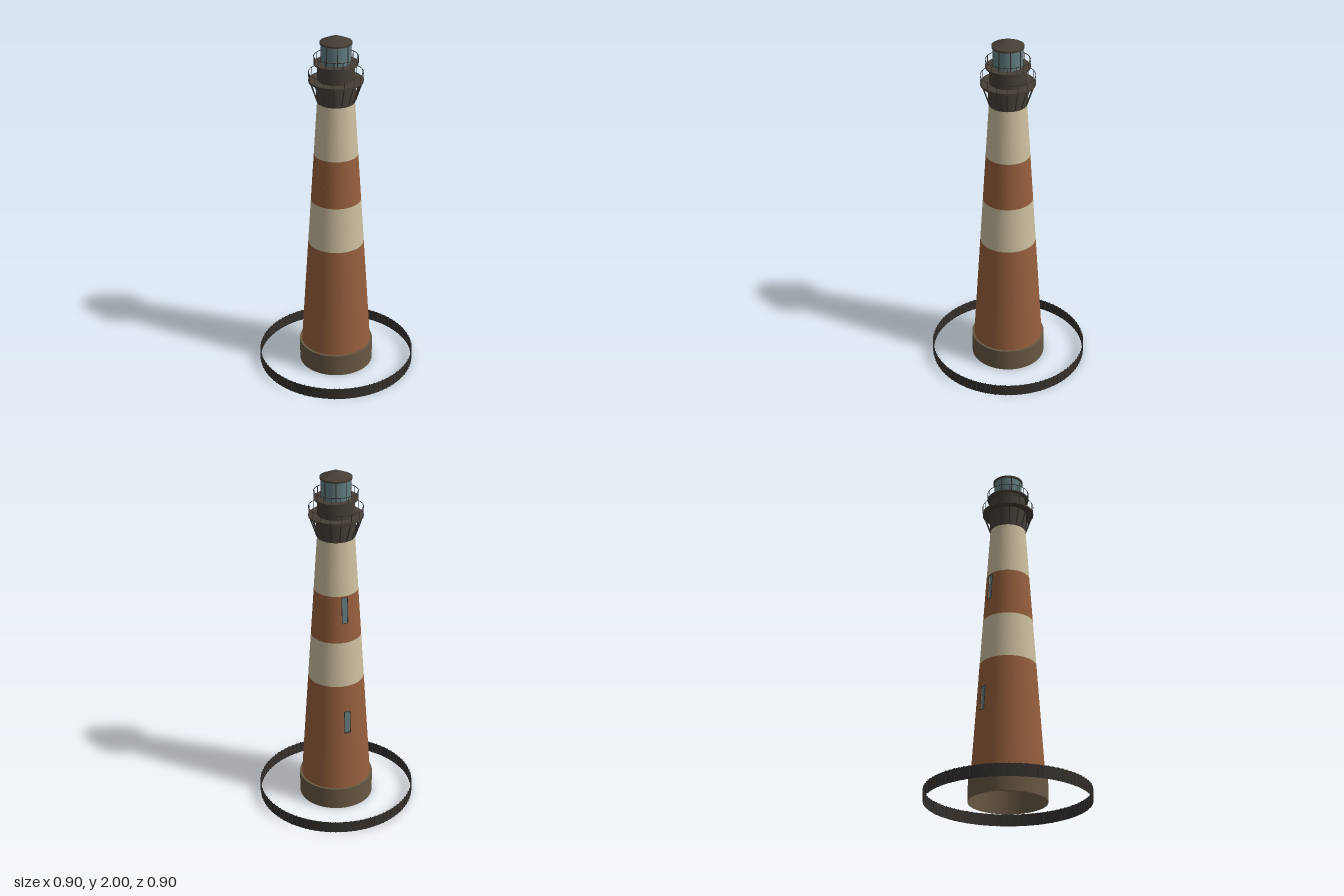
import * as THREE from 'three';

const material = (name, color, side = THREE.FrontSide) => {
  const m = new THREE.MeshStandardMaterial({ color, side });
  m.name = name;
  return m;
};

export function createModel() {
  const model = new THREE.Group();
  model.name = 'lighthouse';
  const both = THREE.DoubleSide;
  const brick = material('red brown paint', 0x965f3d, both);
  const cream = material('cream paint', 0xcdbf9f, both);
  const stone = material('stone', 0x685843, both);
  const iron = material('dark iron', 0x453e37, both);
  const rail = material('black iron', 0x35312d, both);
  const glass = material('glass', 0x627d80);

  const add = (name, geometry, mat, parent = model) => {
    const mesh = new THREE.Mesh(geometry, mat);
    mesh.name = name;
    parent.add(mesh);
    return mesh;
  };
  const group = (name) => {
    const g = new THREE.Group();
    g.name = name;
    model.add(g);
    return g;
  };
  const lathe = (points, segments = 64) =>
    new THREE.LatheGeometry(points.map(([r, y]) => new THREE.Vector2(r, y)), segments);
  // Thin round bar between two points
  const bar = (name, a, b, r, mat, parent) => {
    const d = b.clone().sub(a);
    const m = add(name, new THREE.CylinderGeometry(r, r, d.length(), 5), mat, parent);
    m.position.copy(a).addScaledVector(d, 0.5);
    m.quaternion.setFromUnitVectors(new THREE.Vector3(0, 1, 0), d.normalize());
  };
  const polar = (r, y, a) => new THREE.Vector3(r * Math.sin(a), y, r * Math.cos(a));
  const hoop = (name, r, y, tube, parent) => {
    const m = add(name, new THREE.TorusGeometry(r, tube, 5, 64), rail, parent);
    m.rotation.x = Math.PI / 2;
    m.position.y = y;
  };

  // Perimeter fence: a thin sheet with closely spaced posts
  const fence = group('fence');
  add('fenceSheet', new THREE.CylinderGeometry(0.447, 0.447, 0.068, 96, 1, true), rail, fence).position.y = 0.034;
  for (let i = 0; i < 96; i++) {
    const a = (i / 96) * Math.PI * 2;
    const post = add('fencePost', new THREE.BoxGeometry(0.005, 0.07, 0.005), rail, fence);
    post.position.copy(polar(0.447, 0.035, a));
    post.rotation.y = a;
  }

  // Hollow plinth with a flat ledge
  add('plinthWall', new THREE.CylinderGeometry(0.213, 0.213, 0.13, 64, 1, true), stone).position.y = 0.065;
  const ledge = add('plinthLedge', new THREE.RingGeometry(0.199, 0.213, 64), stone);
  ledge.rotation.x = -Math.PI / 2;
  ledge.position.y = 0.13;

  // Tapered tower in painted bands, with slots left open for the windows
  const towerRadius = (y) => 0.2 - (y - 0.13) * (0.098 / 1.5);
  const tower = group('tower');
  const slotHalf = 0.017;
  const wall = (name, y0, y1, mat, slot = false) => {
    const half = slot ? Math.asin(slotHalf / towerRadius((y0 + y1) / 2)) : 0;
    const g = new THREE.CylinderGeometry(towerRadius(y1), towerRadius(y0), y1 - y0, 64, 1, true,
      Math.PI + half, Math.PI * 2 - half * 2);
    add(name, g, mat, tower).position.y = (y0 + y1) / 2;
  };
  const windows = [[0.485, 0.62], [1.16, 1.31]];
  wall('lowerBrownBand', 0.13, windows[0][0], brick);
  wall('lowerWindowBand', ...windows[0], brick, true);
  wall('lowerBrownBandTop', windows[0][1], 0.78, brick);
  wall('lowerCreamBand', 0.78, 1.045, cream);
  wall('upperBrownBand', 1.045, windows[1][0], brick);
  wall('upperWindowBand', ...windows[1], brick, true);
  wall('upperBrownBandTop', windows[1][1], 1.32, brick);
  wall('upperCreamBand', 1.32, 1.63, cream);

  // Tall windows at the back: glass upright behind the slot, slim frame in the wall
  for (const [y0, y1] of windows) {
    const w = group('window');
    const z0 = -towerRadius(y0), z1 = -towerRadius(y1), mid = (y0 + y1) / 2;
    const pane = add('windowPane', new THREE.PlaneGeometry(slotHalf * 2, y1 - y0), glass, w);
    pane.position.set(0, mid, z1 + 0.002);
    pane.rotation.y = Math.PI;
    for (const s of [-1, 1]) {
      bar('windowJamb', new THREE.Vector3(s * slotHalf, y0, z0), new THREE.Vector3(s * slotHalf, y1, z1), 0.002, rail, w);
    }
    for (const y of [y0, y1]) {
      const z = -towerRadius(y);
      bar('windowCrossbar', new THREE.Vector3(-slotHalf, y, z), new THREE.Vector3(slotHalf, y, z), 0.002, rail, w);
    }
  }

  // Watch room drums and the two gallery floors
  add('lowerDrum', lathe([[0.102, 1.625], [0.106, 1.63], [0.106, 1.742]]), iron);
  add('lowerGalleryFloor', new THREE.CylinderGeometry(0.148, 0.148, 0.01, 64), iron).position.y = 1.747;
  add('upperDrum', new THREE.CylinderGeometry(0.1, 0.1, 0.09, 64, 1, true), iron).position.y = 1.796;
  add('upperGalleryFloor', new THREE.CylinderGeometry(0.12, 0.12, 0.008, 64), iron).position.y = 1.844;

  // Gallery railings
  const railing = (name, r, y, h, count) => {
    const g = group(name);
    for (let i = 0; i < count; i++) {
      const a = ((i + 0.5) / count) * Math.PI * 2;
      bar('railPost', polar(r, y, a), polar(r, y + h, a), 0.0018, rail, g);
    }
    hoop('handRail', r, y + h, 0.0018, g);
  };
  railing('lowerRailing', 0.147, 1.75, 0.045, 16);
  railing('upperRailing', 0.119, 1.846, 0.038, 16);

  // Sloping brackets under the lower gallery
  const brackets = group('brackets');
  for (let i = 0; i < 16; i++) {
    const a = ((i + 0.5) / 16) * Math.PI * 2;
    bar('bracket', polar(0.105, 1.635, a), polar(0.142, 1.743, a), 0.0035, rail, brackets);
  }

  // Glazed lantern room with glazing bars
  const lantern = group('lantern');
  add('lanternGlass', new THREE.CylinderGeometry(0.079, 0.079, 0.115, 48, 1, true), glass, lantern).position.y = 1.904;
  for (let i = 0; i < 8; i++) {
    const a = ((i + 0.5) / 8) * Math.PI * 2;
    bar('glazingBar', polar(0.079, 1.846, a), polar(0.079, 1.96, a), 0.0028, rail, lantern);
  }

  // Shallow conical roof
  add('roofRim', new THREE.CylinderGeometry(0.087, 0.087, 0.01, 48), iron).position.y = 1.958;
  add('roof', new THREE.ConeGeometry(0.087, 0.037, 48), iron).position.y = 1.9815;

  return model;
}
